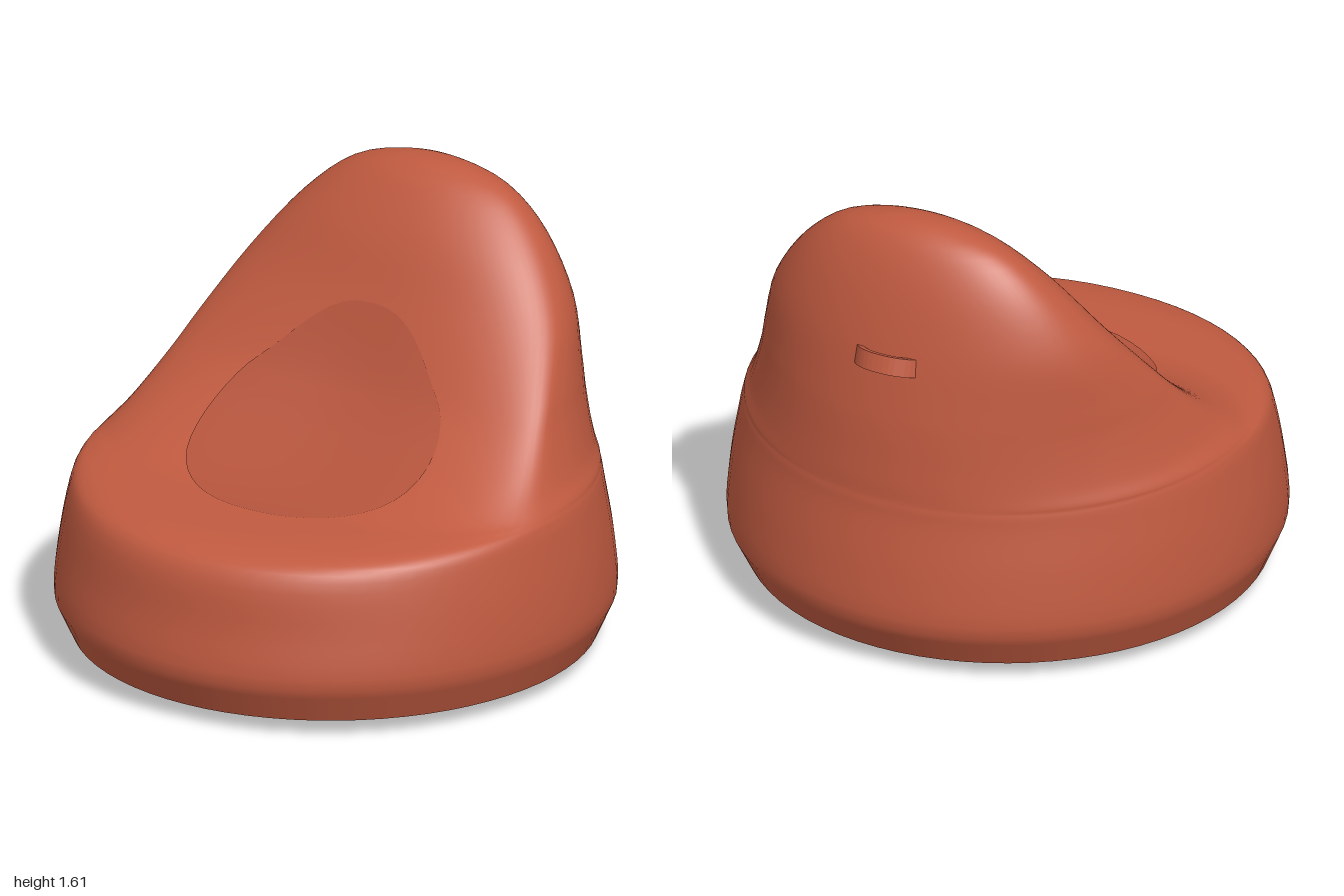
import * as THREE from 'three';

// Horizontal slices of the bag, floor to crown:
// [height, back z, front z, half width, z of the widest place, front squareness]
const SLICES = [
  [0, 0, 0, 0, 0, 2],
  [0, -0.76, 0.74, 0.78, 0, 2],
  [0.06, -0.925, 0.935, 0.915, 0, 2],
  [0.19, -1, 1, 0.97, 0, 2],
  [0.38, -0.985, 0.97, 0.962, 0, 2],
  [0.57, -0.95, 0.935, 0.93, -0.01, 2],
  [0.63, -0.942, 0.83, 0.915, -0.02, 2.1],
  [0.652, -0.938, 0.64, 0.905, -0.03, 2.2],
  [0.67, -0.936, 0.45, 0.895, -0.05, 2.5],
  [0.72, -0.933, 0.28, 0.86, -0.08, 2.8],
  [0.8, -0.925, 0.12, 0.82, -0.13, 2.9],
  [0.9, -0.915, -0.01, 0.775, -0.2, 2.8],
  [1.0, -0.9, -0.095, 0.735, -0.28, 2.6],
  [1.2, -0.86, -0.23, 0.64, -0.45, 2.4],
  [1.4, -0.8, -0.345, 0.495, -0.55, 2.2],
  [1.54, -0.73, -0.455, 0.33, -0.59, 2],
  [1.6, -0.66, -0.54, 0.14, -0.6, 2],
  [1.61, -0.6, -0.6, 0, -0.6, 2],
];
const LAST = SLICES.length - 1;
const FLOOR_EDGE = 2;

// Smooth blend between slices; the floor and its bevel stay straight
function sliceAt(t) {
  const i = Math.min(Math.floor(t), LAST - 1), f = t - i;
  const row = (k) => SLICES[Math.min(Math.max(k, 0), LAST)];
  return row(i).map((p1, c) => {
    const p0 = row(i - 1)[c], p2 = row(i + 1)[c], p3 = row(i + 2)[c];
    if (i < 3) return p1 + (p2 - p1) * f;
    const m1 = (p2 - p0) / 2, m2 = (p3 - p1) / 2, d = p2 - p1;
    return p1 + f * (m1 + f * (3 * d - 2 * m1 - m2 + f * (m1 + m2 - 2 * d)));
  });
}

// Point on the bag: a = angle around (0 is the front), t = slice number
function bagPoint(a, t, lift = 0) {
  const [y, back, front, half, mid, square] = sliceAt(t);
  const s = Math.sin(a), c = Math.cos(a);
  const e = 2 / (c > 0 ? square : 2);
  const x = half * Math.sign(s) * Math.abs(s) ** e;
  const reach = c > 0 ? front - mid : back - mid;
  let z = mid + reach * Math.abs(c) ** e;
  // Hollow pressed into the seat and the backrest
  const hollow = Math.exp(-((x / 0.42) ** 2));
  if (c > 0) z -= 0.03 * c * hollow * Math.exp(-(((y - 0.9) / 0.25) ** 2));
  const dip = y > 0.6 ? 0.03 * hollow * Math.exp(-(((z - 0.25) / 0.22) ** 2)) : 0;
  return [x, y - dip + lift, z + lift];
}

// Closed grid of rings, wrapped around
function ringGrid(rings, sides, pointAt) {
  const points = [], index = [];
  for (let j = 0; j <= rings; j++) {
    for (let i = 0; i < sides; i++) {
      points.push(...pointAt(i / sides * Math.PI * 2, j / rings));
      if (j === rings) continue;
      const a = j * sides + i, b = j * sides + (i + 1) % sides;
      index.push(a, b, b + sides, a, b + sides, a + sides);
    }
  }
  const geometry = new THREE.BufferGeometry();
  geometry.setAttribute('position', new THREE.Float32BufferAttribute(points, 3));
  geometry.setIndex(index);
  geometry.computeVertexNormals();
  return geometry;
}

export function createModel() {
  const group = new THREE.Group();
  const fabric = new THREE.MeshStandardMaterial({ color: 0xc05a40 });
  const worn = new THREE.MeshStandardMaterial({ color: 0xb5543c, side: THREE.DoubleSide });

  const add = (name, geometry, material) => {
    const mesh = new THREE.Mesh(geometry, material);
    mesh.name = name;
    group.add(mesh);
    return mesh;
  };

  // Padded body, with the bevelled floor kept separate for a crisp lower edge
  const rise = LAST - FLOOR_EDGE;
  add('body', ringGrid(rise * 4, 72, (a, v) => bagPoint(a, FLOOR_EDGE + v * rise)), fabric);
  add('floorPanel', ringGrid(4, 72, (a, v) => bagPoint(a, v * FLOOR_EDGE)), fabric);

  // Seat panel lying on the hollow
  add('seatPanel', ringGrid(14, 48, (p, v) => {
    const r = 1 - v;
    return bagPoint(0.46 * r * Math.cos(p), 10.2 + 2.7 * r * Math.sin(p), 0.003);
  }), worn);

  // Arched carrying strap on the back
  const arch = new THREE.Shape();
  arch.moveTo(-0.13, -0.03);
  arch.quadraticCurveTo(-0.09, 0.05, 0, 0.05);
  arch.quadraticCurveTo(0.09, 0.05, 0.13, -0.03);
  arch.lineTo(0.105, -0.03);
  arch.quadraticCurveTo(0.075, 0.026, 0, 0.026);
  arch.quadraticCurveTo(-0.075, 0.026, -0.105, -0.03);
  const strapGeometry = new THREE.ExtrudeGeometry(arch, { depth: 0.065, bevelEnabled: false, curveSegments: 8 });
  strapGeometry.translate(0, 0, -0.0325);
  const strap = add('backStrap', strapGeometry, fabric);
  strap.position.set(0, 1.165, -0.873);
  strap.rotation.x = -Math.PI / 2 + 0.3;

  return group;
}
